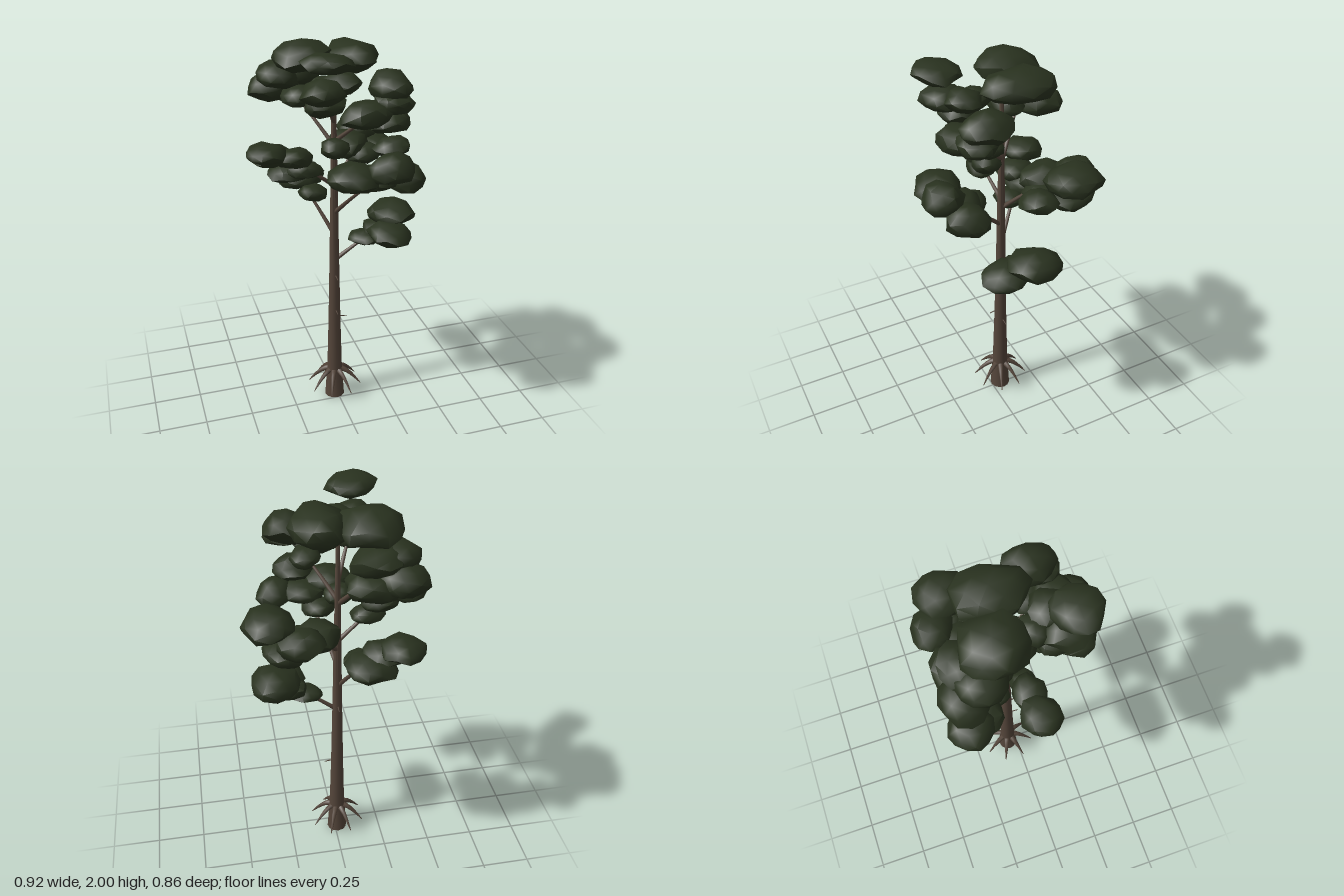
import * as THREE from 'three';
import { mergeVertices, toCreasedNormals } from 'three/addons/utils/BufferGeometryUtils.js';

const TX = -0.013, TZ = -0.052; // trunk axis

// small seeded random
let seed = 7;
const rand = () => {
  seed = (seed * 16807) % 2147483647;
  return seed / 2147483647;
};

// tube through points that tapers from r0 to r1
function taperedTube(points, r0, r1, sides = 6, segments = 6) {
  const curve = new THREE.CatmullRomCurve3(points.map(p => new THREE.Vector3(...p)));
  const geo = new THREE.TubeGeometry(curve, segments, 1, sides, false);
  const pos = geo.attributes.position, v = new THREE.Vector3();
  for (let i = 0; i < pos.count; i++) {
    const t = Math.floor(i / (sides + 1)) / segments;
    const c = curve.getPointAt(t);
    v.fromBufferAttribute(pos, i).sub(c).multiplyScalar(r0 + (r1 - r0) * t).add(c);
    pos.setXYZ(i, v.x, v.y, v.z);
  }
  return geo;
}

// lumpy, flattened dome of needles
function clumpGeometry(rx, ry, rz) {
  let geo = new THREE.IcosahedronGeometry(1, 1);
  geo.deleteAttribute('normal');
  geo.deleteAttribute('uv');
  geo = mergeVertices(geo, 1e-3);
  geo.rotateY(rand() * 6.28);
  const pos = geo.attributes.position;
  for (let i = 0; i < pos.count; i++) {
    const k = 0.89 + rand() * 0.23;
    const y = pos.getY(i);
    pos.setXYZ(i, pos.getX(i) * k * rx, y * (y < 0 ? 0.85 : 1) * k * ry, pos.getZ(i) * k * rz);
  }
  geo.computeVertexNormals();
  return toCreasedNormals(geo, 1);
}

// x, y, z, rx, ry, rz of each foliage clump, grouped by the branch that carries it
const CLUMPS = {
  lowLeft: [
    [0.305, 1.075, -0.07, 0.125, 0.068, 0.13],
    [0.25, 1.015, 0.06, 0.115, 0.056, 0.115],
    [0.15, 0.968, -0.04, 0.085, 0.036, 0.08],
    [0.23, 1.01, -0.04, 0.09, 0.05, 0.09]],
  lowBackRight: [
    [-0.14, 1.255, -0.27, 0.13, 0.062, 0.12],
    [-0.27, 1.36, -0.30, 0.11, 0.056, 0.11],
    [-0.10, 1.205, -0.14, 0.075, 0.045, 0.075],
    [-0.20, 1.30, -0.23, 0.11, 0.055, 0.10]],
  midFrontLeft: [
    [0.15, 1.475, 0.33, 0.108, 0.075, 0.098],
    [0.25, 1.395, 0.25, 0.095, 0.075, 0.11],
    [-0.02, 1.43, 0.28, 0.118, 0.07, 0.11],
    [0.05, 1.35, 0.15, 0.09, 0.05, 0.08],
    [0.11, 1.40, 0.23, 0.11, 0.06, 0.10]],
  midRight: [
    [-0.36, 1.49, 0.00, 0.102, 0.05, 0.095],
    [-0.23, 1.45, -0.01, 0.095, 0.055, 0.075],
    [-0.17, 1.385, -0.01, 0.09, 0.048, 0.065],
    [-0.03, 1.49, 0.02, 0.07, 0.05, 0.07]],
  midBackLeft: [
    [0.335, 1.52, -0.24, 0.125, 0.07, 0.14],
    [0.20, 1.46, -0.33, 0.112, 0.075, 0.10],
    [0.27, 1.385, -0.27, 0.10, 0.06, 0.125],
    [0.11, 1.42, -0.22, 0.105, 0.075, 0.12],
    [0.30, 1.43, -0.08, 0.095, 0.055, 0.09],
    [0.18, 1.38, -0.18, 0.10, 0.055, 0.10]],
  highBackRight: [
    [-0.25, 1.725, -0.31, 0.125, 0.075, 0.105],
    [-0.12, 1.70, -0.30, 0.125, 0.07, 0.11],
    [-0.24, 1.80, -0.23, 0.11, 0.07, 0.12],
    [-0.14, 1.80, -0.27, 0.12, 0.065, 0.11],
    [-0.15, 1.71, -0.15, 0.10, 0.06, 0.09]],
  highFront: [
    [0.20, 1.80, 0.13, 0.105, 0.08, 0.12],
    [0.20, 1.74, 0.18, 0.095, 0.055, 0.095],
    [0.06, 1.70, 0.20, 0.12, 0.07, 0.095],
    [0.12, 1.66, 0.09, 0.075, 0.05, 0.08]],
  highFrontRight: [
    [-0.125, 1.95, 0.22, 0.125, 0.048, 0.11],
    [-0.13, 1.81, 0.18, 0.105, 0.065, 0.11],
    [-0.03, 1.83, 0.13, 0.095, 0.055, 0.09],
    [-0.11, 1.74, 0.13, 0.095, 0.06, 0.09],
    [-0.09, 1.80, 0.05, 0.08, 0.05, 0.07]],
  crown: [
    [-0.14, 1.90, -0.14, 0.148, 0.08, 0.155],
    [0.08, 1.90, -0.085, 0.13, 0.08, 0.17]],
};

// trunk height where each branch starts, and where it ends
const BRANCHES = {
  lowLeft: [0.85, [0.20, 1.0, -0.03]],
  lowBackRight: [1.0, [-0.15, 1.26, -0.22]],
  midFrontLeft: [1.12, [0.08, 1.37, 0.22]],
  midRight: [1.27, [-0.22, 1.43, -0.01]],
  midBackLeft: [1.22, [0.15, 1.42, -0.22]],
  highBackRight: [1.48, [-0.16, 1.70, -0.22]],
  highFront: [1.50, [0.12, 1.67, 0.12]],
  highFrontRight: [1.60, [-0.11, 1.78, 0.13]],
};

// height, angle and length of the dead twigs
const TWIGS = [[0.50, 0, 0.07], [0.555, -1.57, 0.065], [0.765, -1.57, 0.065], [0.88, 1.57, 0.06]];

export function createModel() {
  const tree = new THREE.Group();
  tree.name = 'tree';
  const bark = new THREE.MeshStandardMaterial({ color: 0x54453a });
  bark.name = 'bark';
  const needles = new THREE.MeshStandardMaterial({ color: 0x29321f });
  needles.name = 'needles';
  const add = (geo, mat, name, parent = tree) => {
    const mesh = new THREE.Mesh(geo, mat);
    mesh.name = name;
    parent.add(mesh);
    return mesh;
  };

  // trunk
  const profile = [[0, 0], [0.054, 0], [0.041, 0.2], [0.033, 0.5], [0.026, 0.85],
    [0.02, 1.2], [0.014, 1.55], [0.008, 1.86], [0, 1.87]].map(p => new THREE.Vector2(...p));
  const trunk = add(toCreasedNormals(new THREE.LatheGeometry(profile, 12), 0.8), bark, 'trunk');
  trunk.position.set(TX, 0, TZ);

  // roots arching out of the trunk foot
  const roots = new THREE.Group();
  roots.name = 'roots';
  roots.position.set(TX, 0, TZ);
  tree.add(roots);
  for (let i = 0; i < 8; i++) {
    const path = [[0.025, 0.17, 0], [0.06, 0.158, 0], [0.1, 0.125, 0], [0.145, 0.073, 0]];
    add(taperedTube(path, 0.017, 0.002), bark, 'root', roots).rotation.y = (i + 0.5) * Math.PI / 4;
  }

  // branches
  for (const [name, [y, end]] of Object.entries(BRANCHES)) {
    const mid = [(TX + end[0]) / 2, y + (end[1] - y) * 0.52, (TZ + end[2]) / 2];
    add(taperedTube([[TX, y, TZ], mid, end], 0.012, 0.005), bark, name + 'Branch');
  }

  // dead twigs
  for (const [y, angle, length] of TWIGS) {
    const path = [[0, 0, 0], [length / 2, 0.003, 0], [length, -0.003, 0]];
    const twig = add(taperedTube(path, 0.005, 0.002, 5, 3), bark, 'twig');
    twig.position.set(TX, y, TZ);
    twig.rotation.y = angle;
  }

  // foliage, each clump tipped a little
  for (const [name, clumps] of Object.entries(CLUMPS)) {
    const group = new THREE.Group();
    group.name = name + 'Foliage';
    tree.add(group);
    for (const [x, y, z, rx, ry, rz] of clumps) {
      const clump = add(clumpGeometry(rx, ry, rz), needles, 'foliageClump', group);
      clump.position.set(x, y, z);
      clump.rotation.set(rand() * 0.2 - 0.1, 0, rand() * 0.2 - 0.1);
    }
  }
  return tree;
}
